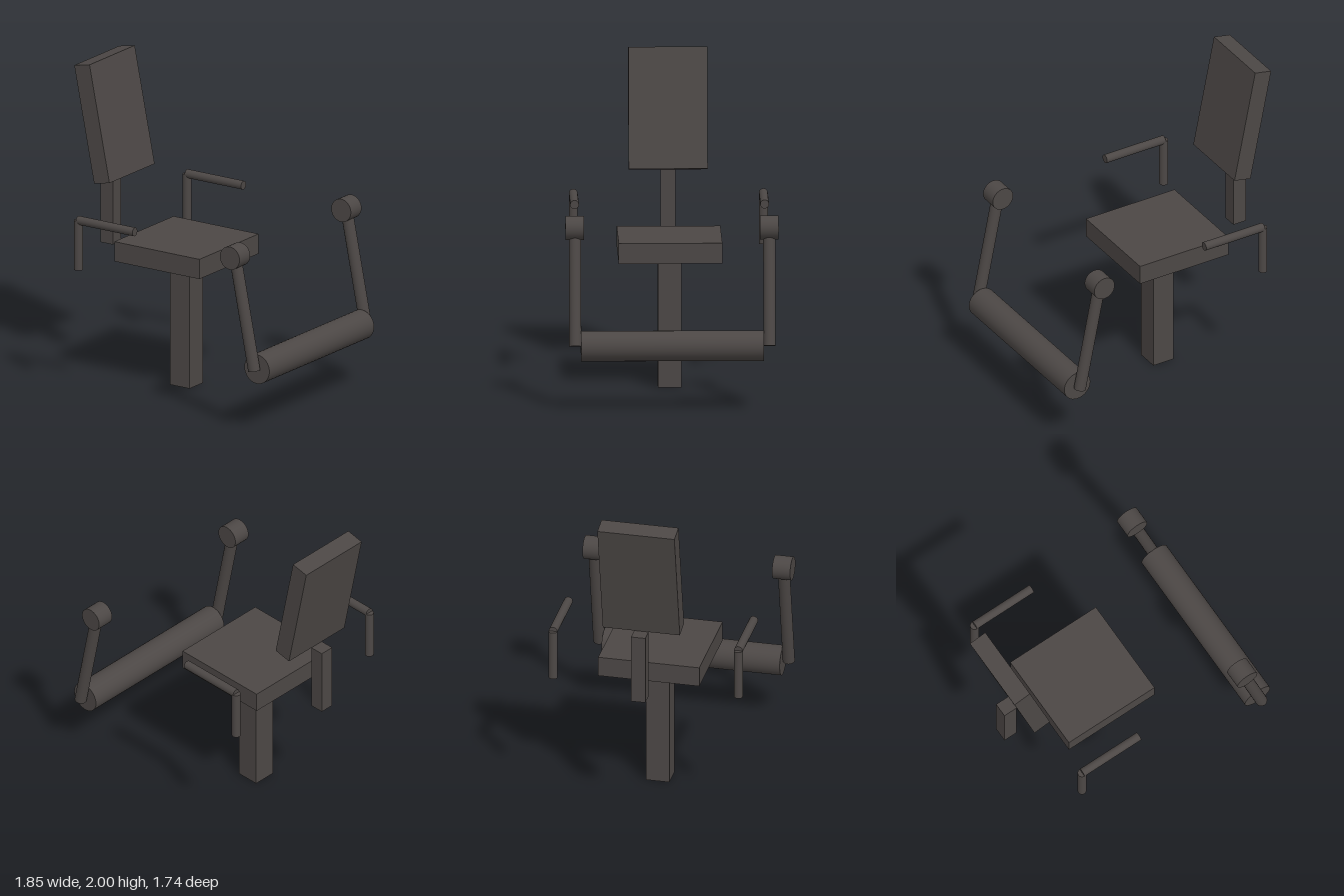
import * as THREE from 'three';

export function createModel() {
  const root = new THREE.Group();
  root.name = 'exerciseChair';

  // Chair frame: local +x is where the sitter looks, local z runs side to side
  const chair = new THREE.Group();
  chair.name = 'chair';
  chair.position.set(-0.23, 0, -0.142);
  chair.rotation.y = -Math.PI / 6;
  root.add(chair);

  const darkGrey = new THREE.MeshStandardMaterial({ color: 0x4c4745 });
  darkGrey.name = 'darkGrey';

  const add = (name, geometry, x, y, z) => {
    const mesh = new THREE.Mesh(geometry, darkGrey);
    mesh.name = name;
    mesh.position.set(x, y, z);
    chair.add(mesh);
    return mesh;
  };
  const box = (name, w, h, d, x, y, z) => add(name, new THREE.BoxGeometry(w, h, d), x, y, z);

  // Round bar between two points
  const bar = (name, radius, from, to) => {
    const a = new THREE.Vector3(...from);
    const b = new THREE.Vector3(...to);
    const dir = b.clone().sub(a);
    const mid = a.clone().add(b).multiplyScalar(0.5);
    const mesh = add(name, new THREE.CylinderGeometry(radius, radius, dir.length(), 32), mid.x, mid.y, mid.z);
    mesh.quaternion.setFromUnitVectors(new THREE.Vector3(0, 1, 0), dir.normalize());
    return mesh;
  };

  // Seat on its post
  box('seatPost', 0.145, 0.808, 0.145, 0, 0.404, 0);
  box('seat', 0.633, 0.126, 0.633, 0, 0.87, 0);

  // Reclined backrest and its upright
  box('backSupport', 0.09, 0.44, 0.09, -0.562, 1.028, 0);
  box('backrest', 0.116, 0.745, 0.482, -0.536, 1.625, 0).rotation.z = 0.2;

  // Leg roller across the front
  bar('legRoller', 0.093, [0.913, 0.4, -0.558], [0.913, 0.4, 0.558]);

  for (const [side, s] of [['right', 1], ['left', -1]]) {
    // Armrest: upright with a forward bar
    bar(side + 'ArmrestPost', 0.027, [-0.4, 0.808, s * 0.58], [-0.4, 1.123, s * 0.58]);
    bar(side + 'ArmrestBar', 0.027, [-0.4, 1.123, s * 0.58], [0.02, 1.123, s * 0.58]);

    // Roller arm and its pivot
    bar(side + 'RollerArm', 0.037, [0.917, 0.4, s * 0.593], [0.775, 1.108, s * 0.593]);
    bar(side + 'Pivot', 0.073, [0.775, 1.108, s * 0.537], [0.775, 1.108, s * 0.65]);
  }

  return root;
}
